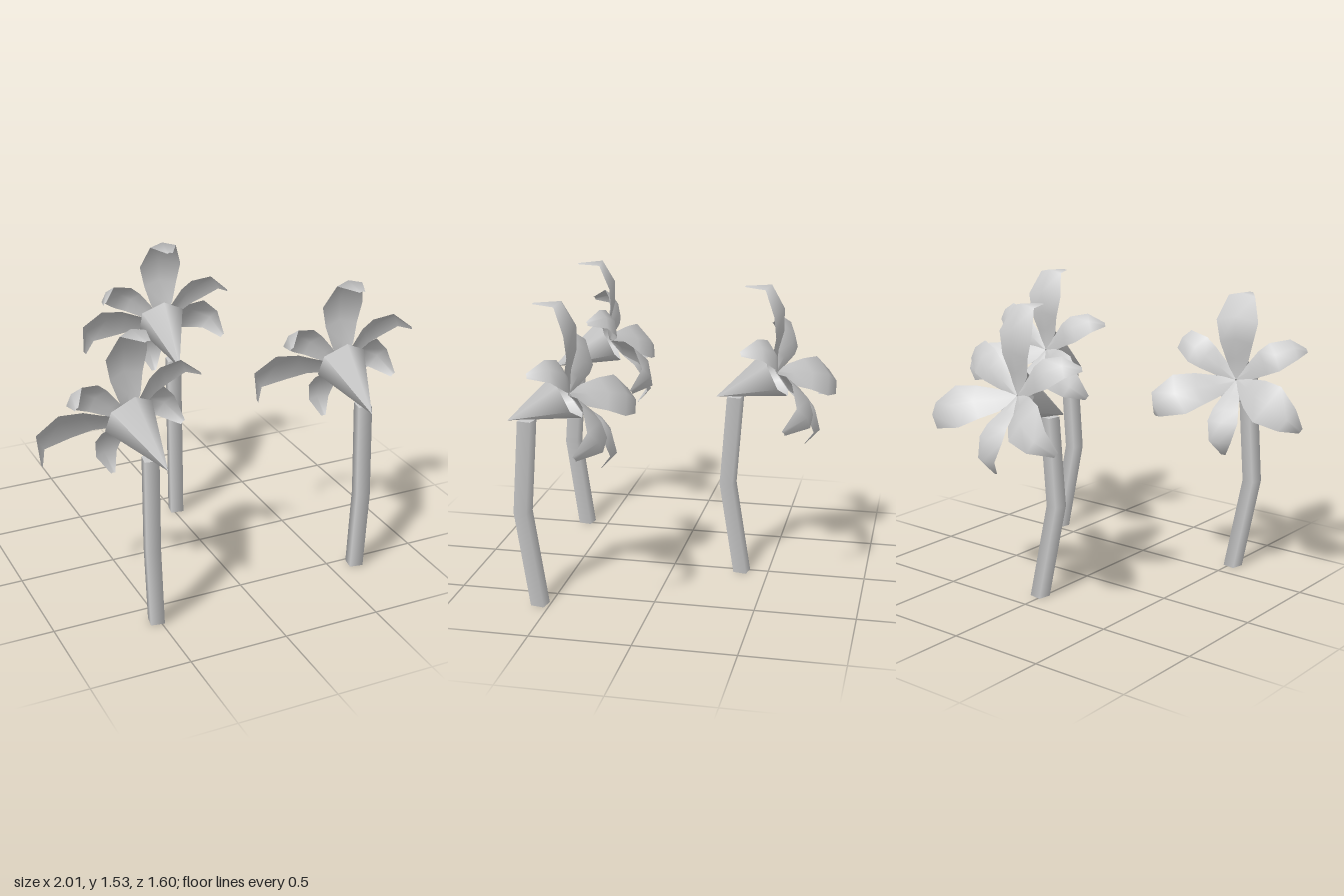
import * as THREE from 'three';

const material = new THREE.MeshStandardMaterial({ color: 0xcccccc, side: THREE.DoubleSide });
const THROAT = 0.353; // funnel length
const TILT = 0.45;

// Petal rows: [distance from axis, forward of funnel rim, half width]
const LARGE = [[0.005, 0.0, 0.012], [0.1, 0.05, 0.06], [0.18, 0.12, 0.088], [0.285, 0.17, 0.112], [0.415, 0.16, 0.07], [0.46, 0.035, 0.015]];
const SMALL = [[0.005, 0.0, 0.01], [0.1, 0.04, 0.045], [0.18, 0.085, 0.068], [0.25, 0.1, 0.08], [0.35, 0.08, 0.058], [0.39, -0.02, 0.012]];

// Three-column strip with a raised midrib, curling back at the tip
function petalGeometry(rows) {
  const positions = [], index = [];
  rows.forEach(([r, a, w], i) => {
    for (const side of [-1, 0, 1]) {
      const drop = Math.abs(side) * w;
      positions.push(side * w, r - drop * 0.12, -THROAT - a + drop * 0.3);
    }
    if (i === 0) return;
    for (let c = 0; c < 2; c++) {
      const p = (i - 1) * 3 + c, q = i * 3 + c;
      index.push(p, q, p + 1, p + 1, q, q + 1);
    }
  });
  const g = new THREE.BufferGeometry();
  g.setAttribute('position', new THREE.Float32BufferAttribute(positions, 3));
  g.setIndex(index);
  g.computeVertexNormals();
  return g;
}

// Four-sided stem with one bend; path holds the three ring centres
function stemGeometry(path) {
  const g = new THREE.CylinderGeometry(0.049, 0.049, 2, 4, 2, false, 0.61);
  const pos = g.attributes.position;
  for (let i = 0; i < pos.count; i++) {
    const [x, y, z] = path[Math.round(pos.getY(i)) + 1];
    pos.setXYZ(i, pos.getX(i) + x, y, pos.getZ(i) + z);
  }
  return g;
}

function part(name, geometry) {
  const mesh = new THREE.Mesh(geometry, material);
  mesh.name = name;
  return mesh;
}

const funnel = new THREE.ConeGeometry(0.13, THROAT, 6, 1, true);
funnel.rotateX(Math.PI / 2).translate(0, 0, -THROAT / 2);
const largePetal = petalGeometry(LARGE);
const smallPetal = petalGeometry(SMALL);

// tip is the closed point of the funnel; stemX runs from base to top, stemZ is at the top
function flower(tip, yaw, stemX, stemZ) {
  const plant = new THREE.Group();
  plant.name = 'flower';
  plant.add(part('stem', stemGeometry([
    [stemX[0], 0, stemZ - 0.05], [stemX[1], 0.47, stemZ + 0.035], [stemX[2], tip[1] + 0.01, stemZ],
  ])));

  const head = new THREE.Group();
  head.name = 'blossom';
  head.position.set(...tip);
  head.rotation.set(TILT, yaw, 0, 'YXZ');
  head.add(part('funnel', funnel));
  // Large and small petals alternate
  for (let i = 0; i < 6; i++) {
    const large = i % 2 === 0;
    const petal = part(large ? 'largePetal' : 'smallPetal', large ? largePetal : smallPetal);
    petal.rotation.z = i * Math.PI / 3;
    head.add(petal);
  }
  plant.add(head);
  return plant;
}

export function createModel() {
  const model = new THREE.Group();
  model.name = 'flowers';
  model.add(
    flower([-0.52, 0.91, 0.8], 0.2, [-0.515, -0.565, -0.552], 0.67),
    flower([0.6, 0.93, 0.7], 0, [0.637, 0.602, 0.608], 0.6),
    flower([-0.02, 0.93, -0.21], -0.1, [0.018, -0.022, -0.012], -0.312),
  );
  return model;
}
